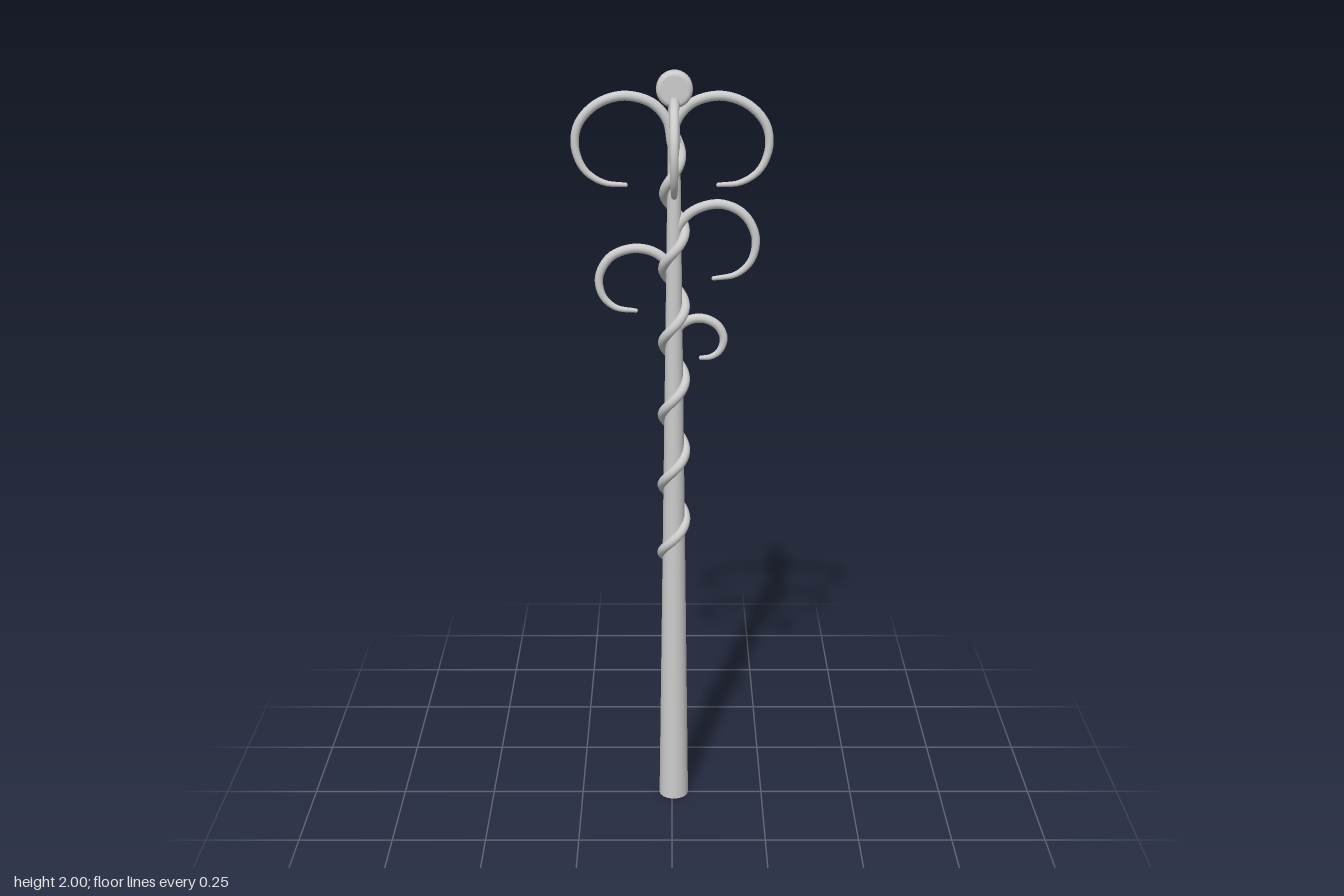
import * as THREE from 'three';

const material = new THREE.MeshStandardMaterial({ color: 0xcccccc, side: THREE.DoubleSide });
const CX = 0.005, CZ = -0.002; // axis of the staff

// Round tube along a curve whose radius follows radiusAt(t), with a ball closing the tip
function taperedTube(name, curve, segments, radiusAt, tipT) {
  const sides = 12;
  const geometry = new THREE.TubeGeometry(curve, segments, 1, sides, false);
  const pos = geometry.attributes.position;
  const v = new THREE.Vector3();
  for (let i = 0; i <= segments; i++) {
    const centre = curve.getPointAt(i / segments);
    for (let j = 0; j <= sides; j++) {
      const k = i * (sides + 1) + j;
      v.fromBufferAttribute(pos, k).sub(centre).multiplyScalar(radiusAt(i / segments)).add(centre);
      pos.setXYZ(k, v.x, v.y, v.z);
    }
  }
  const group = new THREE.Group();
  group.name = name;
  const tube = new THREE.Mesh(geometry, material);
  tube.name = name + 'Stem';
  const tip = new THREE.Mesh(new THREE.SphereGeometry(radiusAt(tipT), 12, 8), material);
  tip.name = name + 'Tip';
  tip.position.copy(curve.getPointAt(tipT));
  group.add(tube, tip);
  return group;
}

// Curled tendril drawn in the x-y plane, then turned about the staff
function tendril(name, points, angle) {
  const curve = new THREE.CatmullRomCurve3(points.map(([x, y]) => new THREE.Vector3(x, y, 0)), false, 'centripetal');
  const group = taperedTube(name, curve, 48, t => 0.0125 * (1 - 0.55 * t ** 3), 1);
  group.rotation.y = angle;
  return group;
}

export function createModel() {
  const model = new THREE.Group();
  model.name = 'staff';

  // Tapering shaft
  const shaft = new THREE.Mesh(new THREE.CylinderGeometry(0.014, 0.04, 1.93, 24), material);
  shaft.name = 'shaft';
  shaft.position.set(CX, 0.965, CZ);
  model.add(shaft);

  // Thick round disc with a softened rim, facing front
  const R = 0.045, H = 0.0225, bevel = 0.012;
  const profile = [new THREE.Vector2(0, -H)];
  for (const [side, start] of [[-1, -Math.PI / 2], [1, 0]]) {
    for (let i = 0; i <= 5; i++) {
      const a = start + (i / 5) * Math.PI / 2;
      profile.push(new THREE.Vector2(R - bevel + bevel * Math.cos(a), side * (H - bevel) + bevel * Math.sin(a)));
    }
  }
  profile.push(new THREE.Vector2(0, H));
  const disc = new THREE.Mesh(new THREE.LatheGeometry(profile, 32), material);
  disc.name = 'topDisc';
  disc.rotation.x = Math.PI / 2;
  disc.position.set(0.006, 2 - R, -0.004);
  model.add(disc);

  // Vine climbing the shaft: starts at the back, passes left, front, right
  const turns = 6, pitch = 0.194, startY = 0.682;
  const vinePoints = [];
  for (let i = 0; i <= turns * 16; i++) {
    const t = i / (turns * 16);
    const a = -Math.PI / 2 + t * turns * Math.PI * 2;
    const r = 0.032 - 0.006 * t - 0.012 * Math.max(0, (t - 0.85) / 0.15);
    vinePoints.push(new THREE.Vector3(CX - r * Math.cos(a), startY + t * turns * pitch, CZ + r * Math.sin(a)));
  }
  const vineRadius = t => 0.0125 * Math.min(1, 0.35 + t * 16);
  model.add(taperedTube('vine', new THREE.CatmullRomCurve3(vinePoints), 240, vineRadius, 0));

  // Crown of four matching tendrils
  const crown = [[0, 1.82], [0.012, 1.88], [0.05, 1.922], [0.12, 1.939], [0.187, 1.917], [0.23, 1.87],
    [0.239, 1.815], [0.217, 1.758], [0.17, 1.726], [0.115, 1.72]];
  ['left', 'back', 'right', 'front'].forEach((side, i) => {
    const arm = tendril(side + 'CrownTendril', crown, i * Math.PI / 2);
    if (i % 2) arm.position.x = CX;
    model.add(arm);
  });

  // Smaller side tendrils lower on the shaft
  model.add(tendril('upperLeftTendril', [[0, 1.56], [0.015, 1.615], [0.055, 1.656], [0.12, 1.672],
    [0.178, 1.647], [0.209, 1.59], [0.2, 1.53], [0.162, 1.493], [0.105, 1.482]], 0));
  model.add(tendril('rightTendril', [[0, 1.48], [0.014, 1.525], [0.05, 1.552], [0.1, 1.559],
    [0.155, 1.537], [0.184, 1.486], [0.175, 1.436], [0.142, 1.406], [0.092, 1.398]], Math.PI));
  model.add(tendril('lowerLeftTendril', [[0, 1.31], [0.015, 1.352], [0.045, 1.374], [0.082, 1.377],
    [0.117, 1.358], [0.132, 1.325], [0.122, 1.292], [0.1, 1.276], [0.074, 1.273]], 0));

  return model;
}
